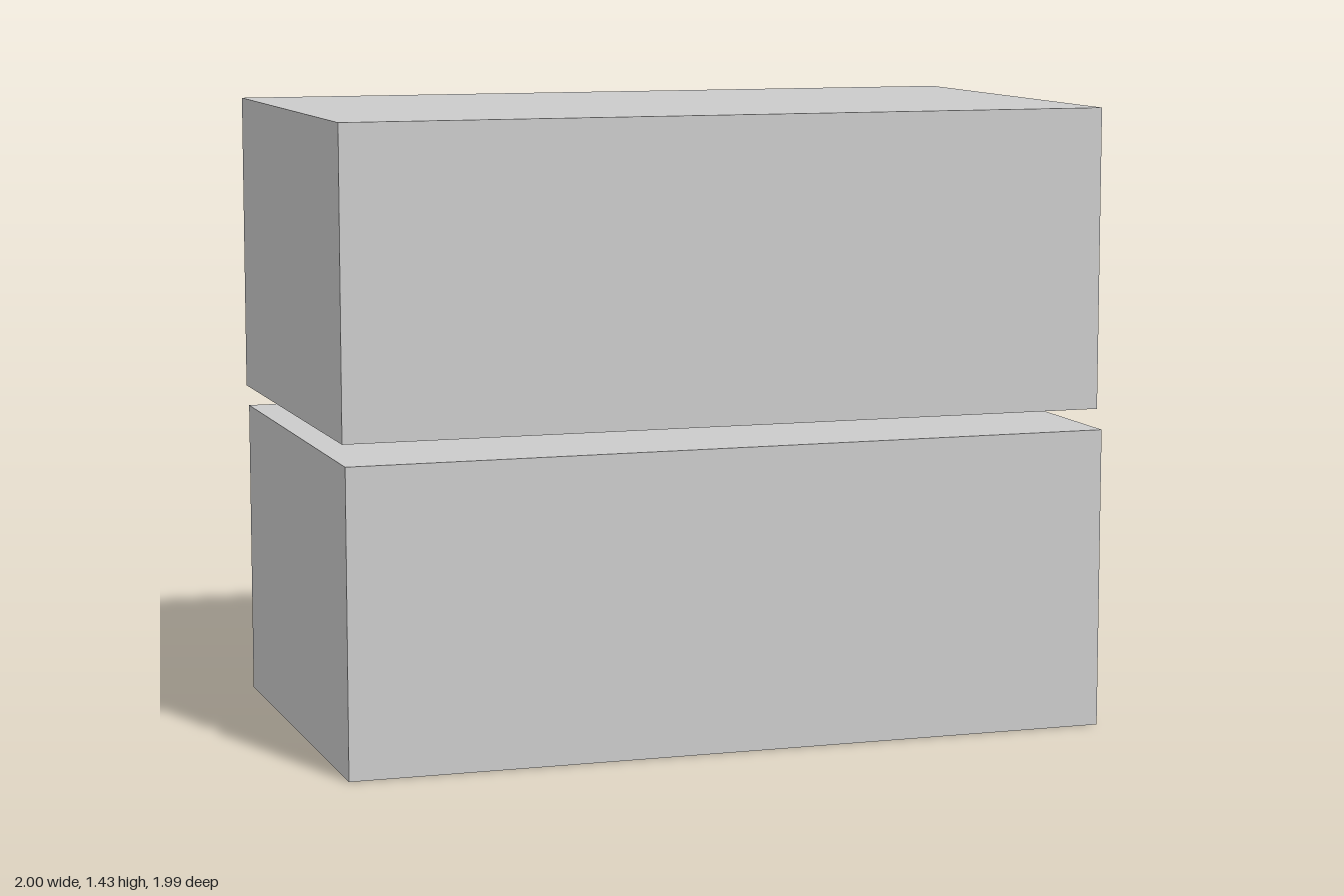
import * as THREE from 'three';

export function createModel() {
  const model = new THREE.Group();
  model.name = 'chest';
  model.rotation.y = THREE.MathUtils.degToRad(44.6);
  const material = new THREE.MeshStandardMaterial({ color: 0xcccccc, flatShading: true });

  // Box standing on height y, centred on x and z
  function addBox(name, width, height, depth, x, y, z) {
    const mesh = new THREE.Mesh(new THREE.BoxGeometry(width, height, depth), material);
    mesh.name = name;
    mesh.position.set(x, y + height / 2, z);
    model.add(mesh);
  }

  const width = 1.785, height = 0.695, depth = 1.014, shift = 0.0135;
  const lidBase = 0.74, latchDepth = 0.223;

  // Base and lid, slightly offset from each other with a gap between
  addBox('base', width, height, depth, 0, 0, shift);
  addBox('lid', width, height, depth, 0, lidBase, -shift);

  // Latch flush against the lid, hanging just below its lower edge
  addBox('latch', 0.4, 0.355, latchDepth, -0.034, 0.715, -shift - (depth + latchDepth) / 2);

  const root = new THREE.Group();
  root.add(model);
  return root;
}
